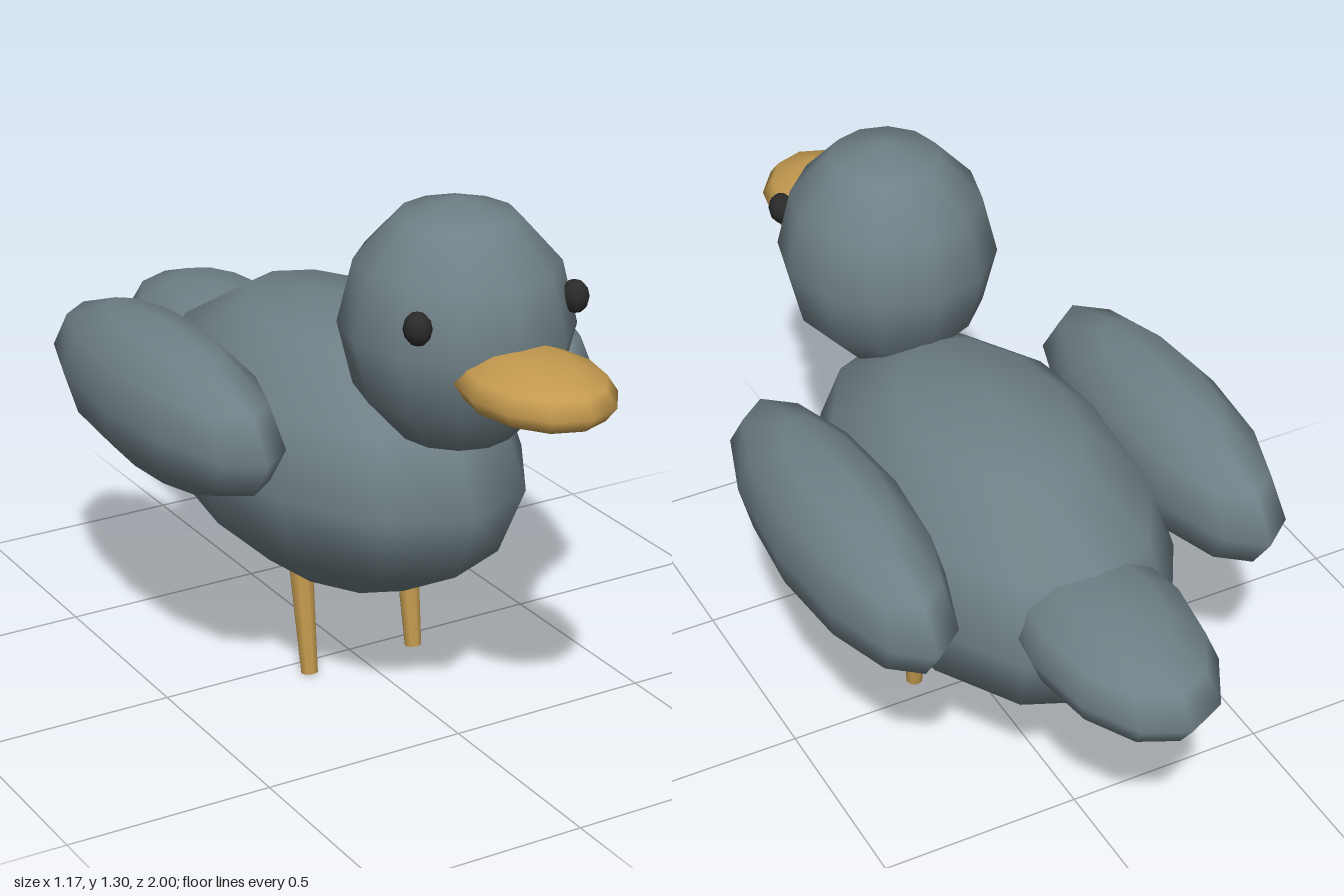
import * as THREE from 'three';

const material = (name, color) => {
  const m = new THREE.MeshStandardMaterial({ color });
  m.name = name;
  return m;
};

export function createModel() {
  const bird = new THREE.Group();
  bird.name = 'bird';
  const feather = material('slate grey', 0x6f8086);
  const horn = material('ochre', 0xc49a4f);
  const dark = material('near black', 0x2a2a2a);

  // Coarse smooth-shaded ball, stretched into every rounded part
  const ball = new THREE.SphereGeometry(1, 12, 6);
  const ellipsoid = (name, mat, radii, position) => {
    const mesh = new THREE.Mesh(ball, mat);
    mesh.name = name;
    mesh.scale.set(...radii);
    mesh.position.set(...position);
    bird.add(mesh);
  };

  ellipsoid('body', feather, [0.375, 0.35, 0.62], [0, 0.565, -0.06]);
  ellipsoid('head', feather, [0.262, 0.291, 0.273], [0, 1.009, 0.468]);
  ellipsoid('beak', horn, [0.16, 0.07, 0.22], [0, 0.963, 0.78]);
  ellipsoid('tail', feather, [0.2, 0.131, 0.36], [0, 0.624, -0.64]);

  // Legs taper downward and lean forward at the foot
  const top = new THREE.Vector3(0, 0.3, 0.018);
  const foot = new THREE.Vector3(0, 0.003, 0.06);
  const axis = top.clone().sub(foot);
  const legGeometry = new THREE.CylinderGeometry(0.031, 0.021, axis.length(), 8);

  for (const [side, s] of [['left', 1], ['right', -1]]) {
    ellipsoid(side + 'Wing', feather, [0.165, 0.188, 0.497], [s * 0.42, 0.712, -0.132]);
    ellipsoid(side + 'Eye', dark, [0.031, 0.038, 0.035], [s * 0.201, 1.083, 0.63]);

    const leg = new THREE.Mesh(legGeometry, horn);
    leg.name = side + 'Leg';
    leg.position.addVectors(top, foot).multiplyScalar(0.5);
    leg.position.x = s * 0.146;
    leg.quaternion.setFromUnitVectors(new THREE.Vector3(0, 1, 0), axis.clone().normalize());
    bird.add(leg);
  }
  return bird;
}
